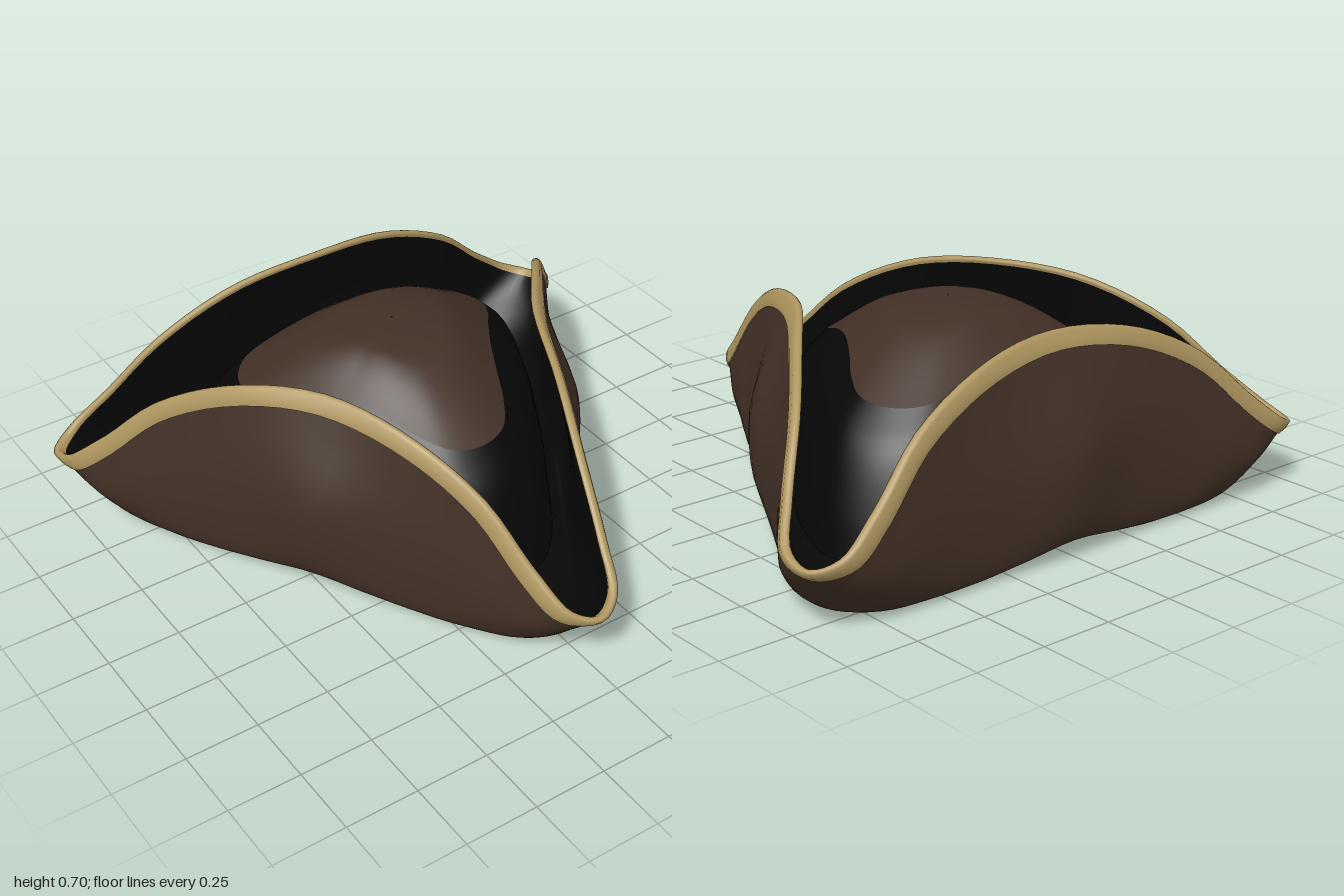
import * as THREE from 'three';

const CENTRE_Z = -0.25;
const SAMPLES = 132;

// Closed three-cornered ring. Points run from a corner (0 degrees) to the middle
// of a side (60 degrees) as [angle, radius, height]; mirrored and repeated.
function ring(points) {
  const mirrored = points.slice(1, -1).reverse().map(([a, r, y]) => [120 - a, r, y]);
  const controls = [];
  for (let k = 0; k < 3; k++) {
    for (const [a, r, y] of [...points, ...mirrored]) {
      const t = THREE.MathUtils.degToRad(a + 120 * k);
      controls.push(new THREE.Vector3(r * Math.sin(t), y, r * Math.cos(t)));
    }
  }
  const curve = new THREE.CatmullRomCurve3(controls, true);
  return Array.from({ length: SAMPLES }, (_, i) => curve.getPoint(i / SAMPLES));
}

// Moves a ring sideways along its outward direction, and up
function offset(points, out, up = 0) {
  const n = points.length;
  return points.map((p, i) => {
    const t = points[(i + 1) % n].clone().sub(points[(i + n - 1) % n]);
    const outward = new THREE.Vector3(-t.z, 0, t.x).normalize();
    return p.clone().addScaledVector(outward, out).setY(p.y + up);
  });
}

// Ring a fixed distance from one ring towards another
function towards(from, to, distance) {
  return from.map((p, i) => p.clone().addScaledVector(to[i].clone().sub(p).normalize(), distance));
}

// Smooth skin over a list of rings
function loft(name, rings, steps, material) {
  const rows = (rings.length - 1) * steps;
  const positions = [];
  const index = [];
  const columns = rings[0].map((_, i) => new THREE.CatmullRomCurve3(rings.map((r) => r[i])));
  for (let j = 0; j <= rows; j++) {
    for (const column of columns) {
      const p = column.getPoint(j / rows);
      positions.push(p.x, p.y, p.z + CENTRE_Z);
    }
  }
  for (let j = 0; j < rows; j++) {
    for (let i = 0; i < SAMPLES; i++) {
      const a = j * SAMPLES + i;
      const b = j * SAMPLES + ((i + 1) % SAMPLES);
      index.push(a, b, b + SAMPLES, a, b + SAMPLES, a + SAMPLES);
    }
  }
  const geometry = new THREE.BufferGeometry();
  geometry.setAttribute('position', new THREE.Float32BufferAttribute(positions, 3));
  geometry.setIndex(index);
  geometry.computeVertexNormals();
  const mesh = new THREE.Mesh(geometry, material);
  mesh.name = name;
  return mesh;
}

export function createModel() {
  const felt = new THREE.MeshStandardMaterial({ color: 0x423026 });
  const gold = new THREE.MeshStandardMaterial({ color: 0xae955f });
  const lining = new THREE.MeshStandardMaterial({ color: 0x070707 });
  felt.name = 'brown felt';
  gold.name = 'gold braid';
  lining.name = 'black lining';

  // Brim rings, from the head opening out and up to the rim
  const opening = ring([[0, 0.72, 0.03], [12, 0.7, 0.03], [24, 0.63, 0.04], [36, 0.57, 0.05], [48, 0.53, 0.07], [60, 0.515, 0.08]]);
  const bottom = ring([[0, 0.93, 0.005], [8, 0.89, 0.005], [18, 0.79, 0.015], [28, 0.7, 0.02], [42, 0.63, 0.035], [60, 0.605, 0.055]]);
  const bulge = ring([[0, 1.06, 0.12], [8, 1.01, 0.12], [13, 0.92, 0.16], [22, 0.77, 0.22], [38, 0.655, 0.28], [60, 0.64, 0.33]]);
  const rim = ring([[0, 1.16, 0.22], [4.8, 1.115, 0.25], [8.5, 0.99, 0.355], [14.5, 0.81, 0.53], [30, 0.61, 0.655], [60, 0.495, 0.695]]);

  // Inner faces of the brim
  const rimIn = offset(rim, -0.025, -0.002);
  const bulgeIn = offset(bulge, -0.03, 0.01);
  const bottomIn = offset(bottom, -0.03, 0.04);
  const band = towards(rim, bulge, 0.055);
  const bandIn = towards(rimIn, bulgeIn, 0.015);

  // Crown rings, from its base to the top
  const crownBase = offset(opening, 0, 0.03);
  const crownSide = ring([[0, 0.69, 0.2], [12, 0.67, 0.21], [24, 0.6, 0.23], [36, 0.54, 0.25], [48, 0.51, 0.27], [60, 0.495, 0.28]]);
  const crownShoulder = ring([[0, 0.62, 0.38], [12, 0.6, 0.39], [24, 0.53, 0.42], [36, 0.47, 0.45], [48, 0.44, 0.47], [60, 0.43, 0.48]]);
  const crownEdge = ring([[0, 0.52, 0.49], [12, 0.5, 0.5], [24, 0.43, 0.53], [36, 0.37, 0.56], [48, 0.34, 0.575], [60, 0.33, 0.58]]);
  const crownUpper = ring([[0, 0.27, 0.645], [12, 0.26, 0.65], [24, 0.235, 0.66], [36, 0.21, 0.67], [48, 0.195, 0.675], [60, 0.19, 0.675]]);
  const crownCap = crownUpper.map((p) => new THREE.Vector3(p.x / 2, 0.7 - (0.7 - p.y) / 4, p.z / 2));
  const crownTop = crownUpper.map((p) => new THREE.Vector3(p.x * 0.01, 0.7, p.z * 0.01));

  const hat = new THREE.Group();
  hat.name = 'threeCorneredHat';
  hat.add(
    loft('brimOutside', [opening, bottom, bulge, band], 6, felt),
    loft('rimBraid', [band, offset(band, 0.006), offset(rim, 0.004, -0.006), offset(rim, -0.012, 0.005), rimIn, bandIn], 2, gold),
    loft('brimInside', [bandIn, bulgeIn, bottomIn, crownBase], 6, lining),
    loft('crownBand', [crownBase, crownSide, crownShoulder, crownEdge], 4, lining),
    loft('crown', [crownEdge, crownUpper, crownCap, crownTop], 6, felt),
  );

  // Hollow inside of the crown, facing down
  const inner = [crownTop, crownCap, crownUpper, crownEdge, crownShoulder, crownSide].map((r) =>
    r.map((p) => new THREE.Vector3(p.x * 0.96, p.y - 0.02, p.z * 0.96)));
  hat.add(loft('headLining', [...inner, opening], 4, lining));
  return hat;
}
